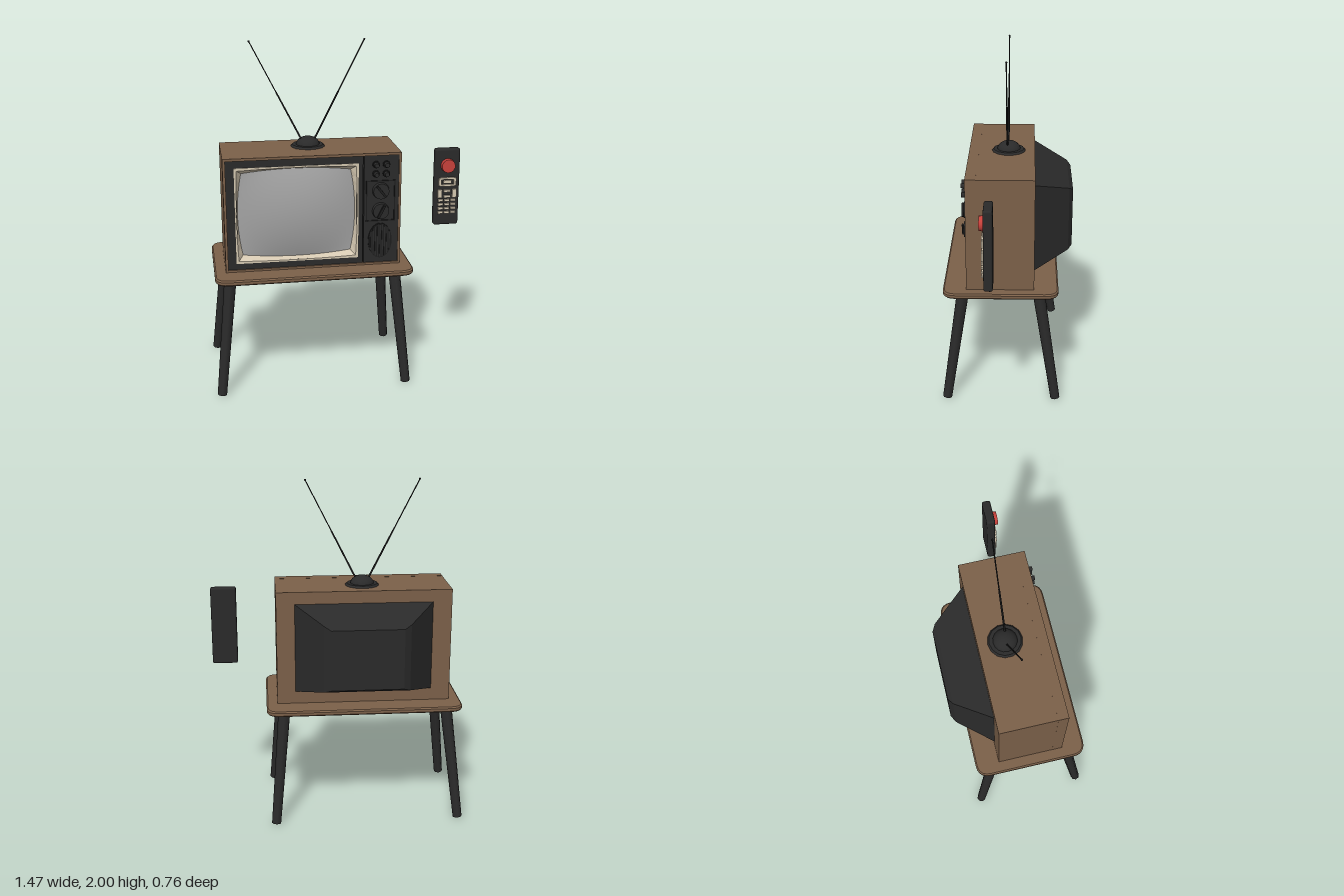
import * as THREE from 'three';
import { RoundedBoxGeometry } from 'three/addons/geometries/RoundedBoxGeometry.js';

const mat = (name, color, extra = {}) => {
  const m = new THREE.MeshStandardMaterial({ color, ...extra });
  m.name = name;
  return m;
};

export function createModel() {
  const wood = mat('wood', 0x7b6049);
  const dark = mat('darkPlastic', 0x2a2a2a);
  const black = mat('black', 0x1d1d1d);
  const cream = mat('cream', 0xd6c9b2);
  const glass = mat('screenGrey', 0xa3a3a3);
  const red = mat('red', 0xc8413b);

  const root = new THREE.Group();
  root.name = 'televisionSet';
  const group = (name) => {
    const g = new THREE.Group();
    g.name = name;
    root.add(g);
    return g;
  };
  const add = (parent, name, geo, material, x = 0, y = 0, z = 0) => {
    const m = new THREE.Mesh(geo, material);
    m.name = name;
    m.position.set(x, y, z);
    parent.add(m);
    return m;
  };
  const box = (w, h, d) => new THREE.BoxGeometry(w, h, d);
  // cylinder whose axis points to the front
  const disc = (r1, r2, d, n = 16) => new THREE.CylinderGeometry(r1, r2, d, n).rotateX(Math.PI / 2);
  // tapered rod between two points
  const rod = (parent, name, a, b, ra, rb, n, material) => {
    const p = new THREE.Vector3(...a), q = new THREE.Vector3(...b), d = q.clone().sub(p);
    const m = add(parent, name, new THREE.CylinderGeometry(rb, ra, d.length(), n), material);
    m.position.copy(p).add(q).multiplyScalar(0.5);
    m.quaternion.setFromUnitVectors(new THREE.Vector3(0, 1, 0), d.normalize());
  };
  // flat-shaded skin over closed rings of points
  const loft = (rings) => {
    const n = rings[0].length, pos = [];
    for (let r = 0; r < rings.length - 1; r++)
      for (let i = 0; i < n; i++) {
        const j = (i + 1) % n, A = rings[r], B = rings[r + 1];
        pos.push(...A[i], ...B[i], ...A[j], ...A[j], ...B[i], ...B[j]);
      }
    const g = new THREE.BufferGeometry();
    g.setAttribute('position', new THREE.Float32BufferAttribute(pos, 3));
    g.computeVertexNormals();
    return g;
  };
  // rectangle with optionally rounded corners
  const rect = (x0, y0, x1, y1, r = 0, P = THREE.Shape) => {
    const s = new P();
    s.moveTo(x0 + r, y0);
    s.lineTo(x1 - r, y0);
    if (r) s.quadraticCurveTo(x1, y0, x1, y0 + r);
    s.lineTo(x1, y1 - r);
    if (r) s.quadraticCurveTo(x1, y1, x1 - r, y1);
    s.lineTo(x0 + r, y1);
    if (r) s.quadraticCurveTo(x0, y1, x0, y1 - r);
    s.lineTo(x0, y0 + r);
    if (r) s.quadraticCurveTo(x0, y0, x0 + r, y0);
    return s;
  };
  const extrude = (shape, depth, bevel = 0) => new THREE.ExtrudeGeometry(shape, {
    depth, curveSegments: 5, bevelEnabled: bevel > 0, bevelSize: bevel, bevelThickness: bevel, bevelSegments: 1,
  });

  // --- table ---
  const table = group('table');
  add(table, 'tableTop', extrude(rect(-0.717, -0.357, 0.412, 0.292, 0.07), 0.016, 0.008).rotateX(-Math.PI / 2),
    wood, 0, 0.69, 0);
  for (const [xt, xb] of [[-0.637, -0.712], [0.317, 0.378]])
    for (const [zt, zb] of [[0.25, 0.352], [-0.185, -0.292]])
      rod(table, 'leg', [xb, 0.004, zb], [xt, 0.69, zt], 0.027, 0.035, 8, dark);

  // --- cabinet: wooden shell, recessed front ---
  const tv = group('television');
  add(tv, 'cabinet', box(1.015, 0.673, 0.33), wood, -0.152, 1.048, 0.005);
  const rim = rect(-0.66, 0.711, 0.355, 1.385);
  rim.holes.push(rect(-0.645, 0.726, 0.342, 1.37, 0, THREE.Path));
  add(tv, 'cabinetRim', extrude(rim, 0.06), wood, 0, 0, 0.17);

  // --- screen bezel and control panel ---
  const cx = -0.245, cy = 1.045;
  const bezel = rect(-0.645, 0.726, 0.134, 1.37);
  bezel.holes.push(rect(cx - 0.343, cy - 0.273, cx + 0.343, cy + 0.273, 0, THREE.Path));
  add(tv, 'screenBezel', extrude(bezel, 0.052), dark, 0, 0, 0.17);
  add(tv, 'controlPanel', box(0.202, 0.644, 0.052), dark, 0.241, 1.048, 0.196);

  // --- bulging screen with cream surround ---
  const pillow = (u, v, hw, hh, k, z) => [
    cx + hw * u * (1 + k * (1 - v * v)), cy + hh * v * (1 + k * (1 - u * u)), z];
  const edge = [];
  for (let s = 0; s < 4; s++)
    for (let i = 0; i < 10; i++) {
      const t = -1 + i / 5;
      edge.push([[t, -1], [1, t], [-t, 1], [-1, -t]][s]);
    }
  const ring = (hw, hh, k, z) => edge.map(([u, v]) => pillow(u, v, hw, hh, k, z));
  add(tv, 'screenSurround', loft([
    ring(0.312, 0.243, 0.08, 0.19), ring(0.338, 0.268, 0.025, 0.226),
    ring(0.353, 0.283, 0, 0.226), ring(0.353, 0.283, 0, 0.2)]), cream);
  const screen = new THREE.PlaneGeometry(2, 2, 16, 16), sp = screen.attributes.position;
  for (let i = 0; i < sp.count; i++) {
    const u = sp.getX(i), v = sp.getY(i);
    sp.setXYZ(i, ...pillow(u, v, 0.314, 0.245, 0.08, 0.19 + 0.042 * (1 - u * u) * (1 - v * v)));
  }
  screen.computeVertexNormals();
  add(tv, 'screen', screen, glass);

  // --- knobs, dials and speaker ---
  for (const x of [0.208, 0.268])
    for (const y of [1.262, 1.317]) {
      add(tv, 'knobCollar', disc(0.021, 0.021, 0.012, 12), black, x, y, 0.226);
      add(tv, 'knob', disc(0.013, 0.016, 0.03, 12), dark, x, y, 0.24);
    }
  const plate = rect(0.152, 0.978, 0.322, 1.222);
  plate.holes.push(rect(0.158, 0.984, 0.316, 1.216, 0, THREE.Path));
  add(tv, 'dialPlateTrim', extrude(plate, 0.006), black, 0, 0, 0.222);
  for (const [y, a] of [[1.16, -0.9], [1.04, 1.1]]) {
    add(tv, 'dial', disc(0.046, 0.05, 0.022, 20), dark, 0.238, y, 0.231);
    add(tv, 'dialGrip', box(0.08, 0.014, 0.014), black, 0.238, y, 0.248).rotation.z = a;
  }
  add(tv, 'speaker', disc(1, 1, 0.008, 28).scale(0.07, 0.106, 1), black, 0.236, 0.86, 0.224);
  for (let i = -4; i <= 4; i++) {
    const h = 0.2 * Math.sqrt(1 - (i / 5) ** 2);
    add(tv, 'speakerSlat', box(0.007, h, 0.006), dark, 0.236 + i * 0.0135, 0.86, 0.229);
  }

  // --- tapered rear housing ---
  const sect = (x0, x1, y0, y1, z) => [[x0, y0, z], [x1, y0, z], [x1, y1, z], [x0, y1, z]];
  add(tv, 'rearHousing', loft([
    sect(-0.553, 0.253, 0.785, 1.315, -0.155), sect(-0.395, 0.092, 0.85, 1.238, -0.36),
    sect(-0.357, 0.055, 0.866, 1.218, -0.382), sect(-0.15, -0.15, 1.04, 1.04, -0.382)]), dark);

  // --- antenna ---
  const antenna = group('antenna');
  add(antenna, 'antennaBase', new THREE.CylinderGeometry(0.09, 0.1, 0.012, 14), dark, -0.152, 1.39, -0.005);
  add(antenna, 'antennaDome', new THREE.SphereGeometry(0.07, 16, 6, 0, Math.PI * 2, 0, Math.PI / 2)
    .scale(1, 0.75, 1), dark, -0.152, 1.39, -0.005);
  for (const s of [-1, 1]) {
    const at = (t) => [-0.152 + s * (0.03 + 0.297 * t), 1.41 + 0.585 * t, 0.003 * s];
    rod(antenna, 'rodLower', at(0), at(0.5), 0.006, 0.005, 6, black);
    rod(antenna, 'rodUpper', at(0.5), at(1), 0.0035, 0.0035, 6, black);
    add(antenna, 'rodTip', new THREE.SphereGeometry(0.006, 8, 6), black, ...at(1));
  }

  // --- floating remote control ---
  const remote = group('remoteControl');
  const rx = 0.66;
  add(remote, 'remoteBody', new RoundedBoxGeometry(0.15, 0.466, 0.05, 2, 0.012), dark, rx, 1.128, 0.088);
  add(remote, 'powerButton', disc(0.04, 0.043, 0.03, 14), red, rx, 1.262, 0.122);
  const button = (dx, y, w, h) => add(remote, 'button', box(w, h, 0.014), cream, rx + dx, y, 0.117);
  for (const s of [-1, 1]) {
    button(0, 1.163 + s * 0.021, 0.085, 0.011);
    button(s * 0.045, 1.163, 0.014, 0.045);
    button(s * 0.044, 1.092, 0.026, 0.05);
    button(0, 1.09 + s * 0.017, 0.04, 0.013);
  }
  button(0, 1.163, 0.048, 0.018);
  for (let r = 0; r < 4; r++)
    for (const c of [-1, 0, 1]) button(c * 0.038, 1.05 - r * 0.025, 0.03, 0.013);

  return root;
}
